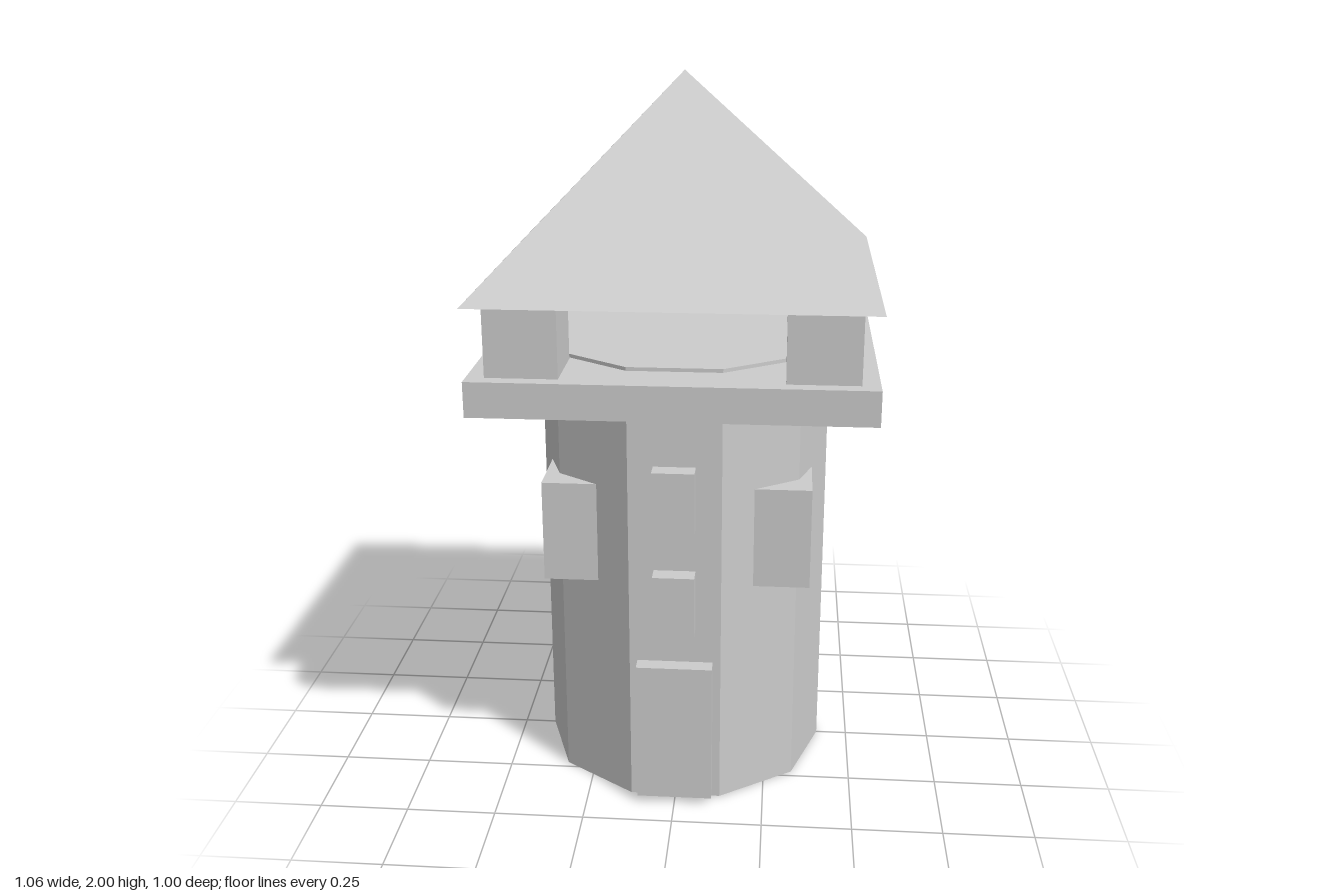
import * as THREE from 'three';

export function createModel() {
  const model = new THREE.Group();
  model.name = 'watchtower';
  const stone = new THREE.MeshStandardMaterial({ color: 0xcccccc, flatShading: true });
  stone.name = 'stone grey';

  const add = (name, geometry) => {
    const mesh = new THREE.Mesh(geometry, stone);
    mesh.name = name;
    model.add(mesh);
  };
  // Box given by its extents on each axis
  const box = (name, [x0, x1], [y0, y1], [z0, z1]) =>
    add(name, new THREE.BoxGeometry(x1 - x0, y1 - y0, z1 - z0)
      .translate((x0 + x1) / 2, (y0 + y1) / 2, (z0 + z1) / 2));

  // Ten-sided shaft with corners on the x axis, slightly flattened in z;
  // its top stands just proud of the platform
  add('towerBody', new THREE.CylinderGeometry(0.41, 0.41, 1.28, 10)
    .rotateY(Math.PI / 2).scale(1, 1, 0.945).translate(0, 0.64, 0));

  // Lookout platform
  box('platform', [-0.527, 0.527], [1.175, 1.27], [-0.498, 0.498]);

  // Corner posts carrying the roof
  for (const sx of [-1, 1]) for (const sz of [-1, 1]) {
    add('cornerPost', new THREE.BoxGeometry(0.19, 0.19, 0.19)
      .translate(sx * 0.384, 1.365, sz * 0.363));
  }

  // Pyramid roof
  add('roof', new THREE.ConeGeometry(Math.SQRT2, 0.54, 4)
    .rotateY(Math.PI / 4).scale(0.528, 1, 0.5).translate(0, 1.73, 0));

  // Door and the two shutters above it
  box('door', [-0.105, 0.105], [0.02, 0.43], [0.36, 0.413]);
  box('lowerWindow', [-0.057, 0.057], [0.535, 0.71], [0.377, 0.427]);
  box('upperWindow', [-0.057, 0.057], [0.835, 1.01], [0.377, 0.427]);

  // Square bays jutting out of the front corners
  box('leftBay', [0.12, 0.367], [0.64, 0.927], [0.06, 0.31]);
  box('rightBay', [-0.37, -0.12], [0.64, 0.927], [0.06, 0.305]);

  return model;
}
